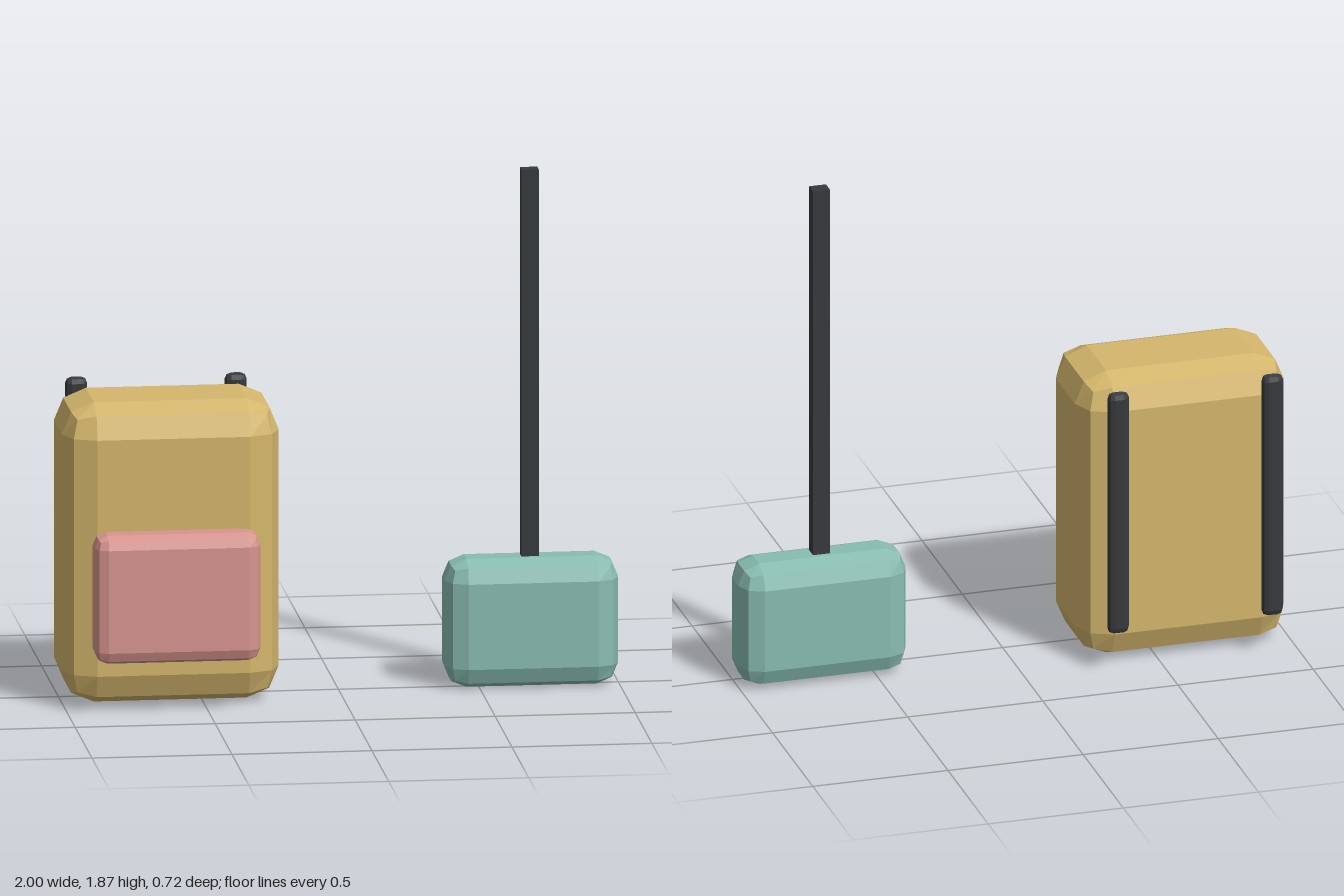
import * as THREE from 'three';
import { RoundedBoxGeometry } from 'three/addons/geometries/RoundedBoxGeometry.js';

export function createModel() {
  const model = new THREE.Group();
  model.name = 'luggageSet';

  const material = (name, color) => {
    const m = new THREE.MeshStandardMaterial({ color, flatShading: true });
    m.name = name;
    return m;
  };
  const gold = material('gold', 0xd4b66c);
  const pink = material('pink', 0xd8958f);
  const teal = material('teal', 0x88bcaf);
  const charcoal = material('charcoal', 0x36393b);

  // Box with low-poly bevelled edges (radius 0 gives a plain box)
  const addBox = (name, mat, size, radius, position) => {
    const geometry = radius > 0
      ? new RoundedBoxGeometry(...size, 1, radius)
      : new THREE.BoxGeometry(...size);
    const mesh = new THREE.Mesh(geometry, mat);
    mesh.name = name;
    mesh.position.set(...position);
    model.add(mesh);
  };

  const packX = -0.612, centreZ = -0.025;

  // Backpack body and front pocket
  addBox('backpackBody', gold, [0.775, 1.088, 0.465], 0.115, [packX, 0.544, centreZ]);
  addBox('frontPocket', pink, [0.592, 0.465, 0.155], 0.046, [packX, 0.419, 0.285]);

  // Pair of shoulder straps behind the body
  for (const [name, side] of [['rightStrap', -1], ['leftStrap', 1]]) {
    addBox(name, charcoal, [0.079, 0.93, 0.0466], 0.0233, [packX + side * 0.285, 0.621, -0.337]);
  }

  // Small case with its tall handle
  addBox('caseBody', teal, [0.62, 0.465, 0.2325], 0.0775, [0.688, 0.2325, centreZ]);
  addBox('caseHandle', charcoal, [0.062, 1.42, 0.048], 0, [0.685, 1.16, centreZ]);

  return model;
}
